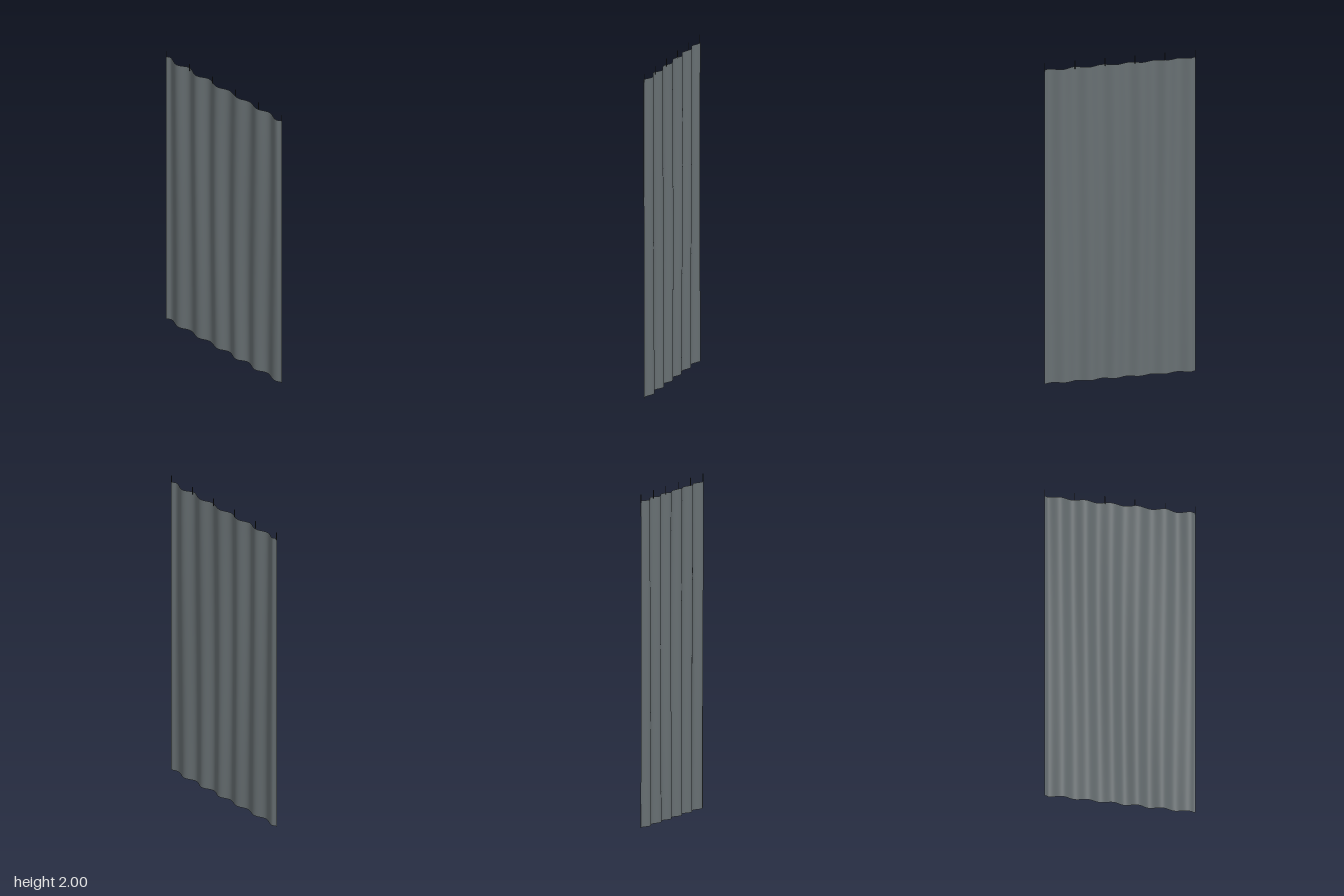
import * as THREE from 'three';

const HALF = 0.465, TOP = 1.96, PERIOD = 0.157, HOOKS = 6;

// Sideways offset of the cloth: soft folds that drift a little with height and flatten at the edges
function foldX(z, y) {
  const drift = 0.008 * Math.sin(1.6 * y + 5 * z);
  const edge = Math.min(1, (HALF - Math.abs(z)) / 0.025);
  const amp = 0.0125 + 0.0015 * Math.sin(2.1 * y + 9 * z);
  return edge * amp * Math.cos((2 * Math.PI * (z + 0.44 + drift)) / PERIOD);
}

// Top edge hangs very slightly between the hooks
function sag(z) {
  return 0.004 * Math.abs(Math.sin(((z + HALF) / (2 * HALF)) * (HOOKS - 1) * Math.PI));
}

export function createModel() {
  const group = new THREE.Group();
  group.name = 'curtain';
  const cloth = new THREE.MeshStandardMaterial({ color: 0x687073, side: THREE.DoubleSide });
  cloth.name = 'grey cloth';
  const metal = new THREE.MeshStandardMaterial({ color: 0x2b2e30 });
  metal.name = 'dark metal';

  // Hanging sheet, a plane turned to face +x and pushed into folds
  const sheet = new THREE.PlaneGeometry(2 * HALF, TOP, 144, 40);
  sheet.rotateY(Math.PI / 2);
  const p = sheet.attributes.position;
  for (let i = 0; i < p.count; i++) {
    const z = p.getZ(i), v = p.getY(i) / TOP + 0.5;
    const y = v * TOP - sag(z) * Math.pow(v, 12);
    p.setXYZ(i, foldX(z, y), y, z);
  }
  sheet.computeVertexNormals();
  const curtain = new THREE.Mesh(sheet, cloth);
  curtain.name = 'curtainSheet';
  group.add(curtain);

  // Row of thin hanging pins along the top edge
  const pin = new THREE.CylinderGeometry(0.0025, 0.0025, 0.05, 8);
  for (let i = 0; i < HOOKS; i++) {
    const z = -HALF + 0.0025 + (i / (HOOKS - 1)) * 2 * (HALF - 0.0025);
    const hook = new THREE.Mesh(pin, metal);
    hook.name = 'hangingPin' + (i + 1);
    hook.position.set(0, 1.975, z);
    group.add(hook);
  }
  return group;
}
